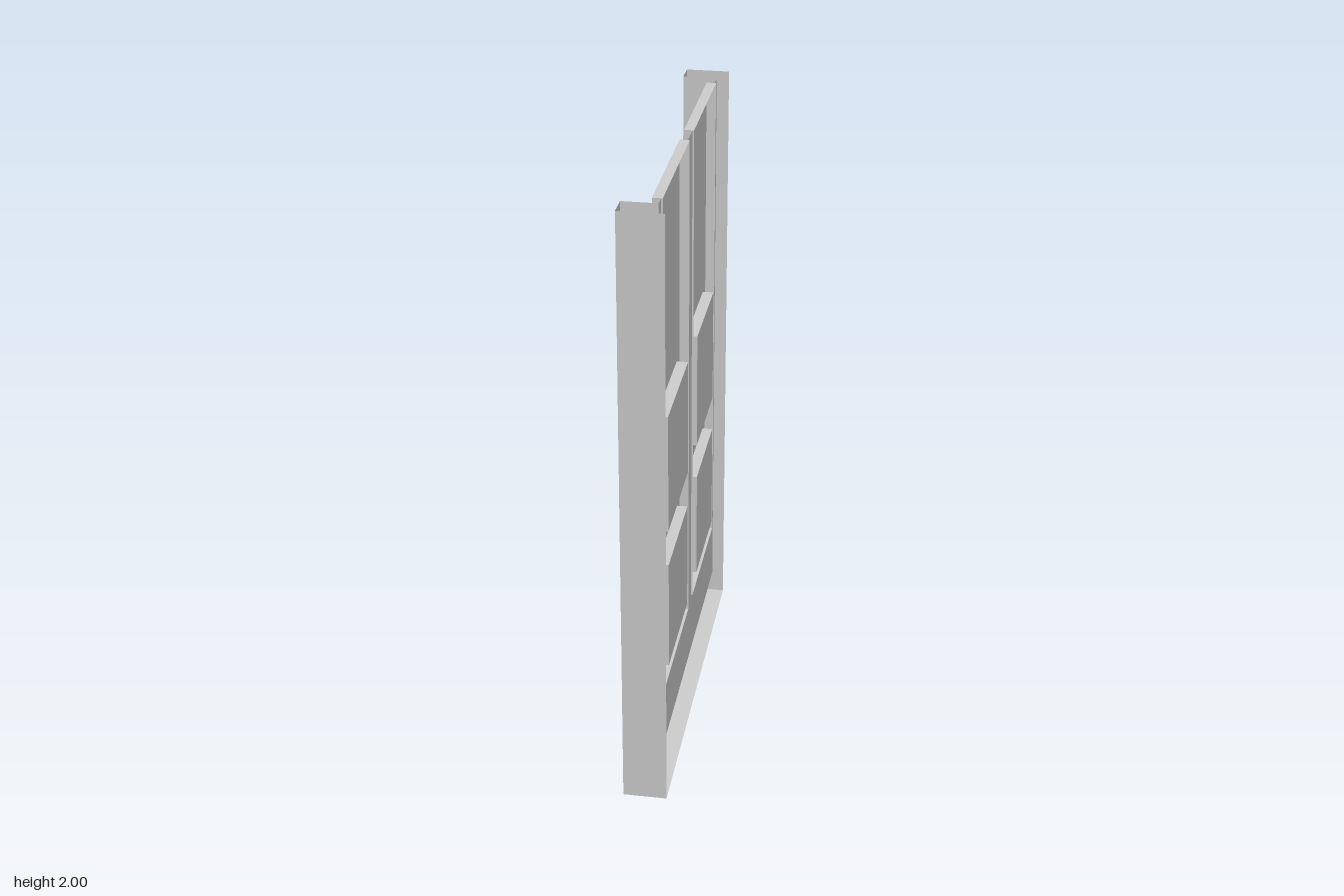
import * as THREE from 'three';

const material = new THREE.MeshStandardMaterial({ color: 0xcccccc, flatShading: true, side: THREE.DoubleSide });

const H = 2;          // height
const OUT = 0.635;    // half width of the frame
const IN = 0.56;      // half width of the opening
const SILL = 0.12;    // bottom of the opening
const BACK = -0.07, FRONT = 0.07, LEAF = 0.04, LIP = 0.045, RECESS = 0.014, RAISED = 0.05;

// Corner loop of a rectangle in the (z, y) plane
const rect = (z0, z1, y0, y1) => [[z0, y0], [z1, y0], [z1, y1], [z0, y1]];

// Flat sheet across the door at a given x, with optional holes
function sheet(name, x, outline, holes = []) {
  const vectors = (pts) => pts.map(([z, y]) => new THREE.Vector2(z, y));
  const shape = new THREE.Shape(vectors(outline));
  holes.forEach((h) => shape.holes.push(new THREE.Path(vectors(h))));
  const geometry = new THREE.ShapeGeometry(shape);
  geometry.rotateY(-Math.PI / 2).translate(x, 0, 0);
  const mesh = new THREE.Mesh(geometry, material);
  mesh.name = name;
  return mesh;
}

// Thin wall following a (z, y) path, spanning x0 to x1
function wall(name, path, x0, x1, closed = false) {
  const pts = closed ? [...path, path[0]] : path;
  const pos = [];
  for (let i = 0; i < pts.length - 1; i++) {
    const [az, ay] = pts[i], [bz, by] = pts[i + 1];
    pos.push(x0, ay, az, x0, by, bz, x1, by, bz, x0, ay, az, x1, by, bz, x1, ay, az);
  }
  const geometry = new THREE.BufferGeometry();
  geometry.setAttribute('position', new THREE.Float32BufferAttribute(pos, 3));
  geometry.computeVertexNormals();
  const mesh = new THREE.Mesh(geometry, material);
  mesh.name = name;
  return mesh;
}

export function createModel() {
  const door = new THREE.Group();
  door.name = 'door';

  // Frame: hollow channel, open at the top and on the +x side
  const outer = [[-OUT, H], [-OUT, 0], [OUT, 0], [OUT, H]];
  const inner = [[-IN, H], [-IN, SILL], [IN, SILL], [IN, H]];
  const frame = new THREE.Group();
  frame.name = 'frame';
  frame.add(
    wall('frameOuterWall', outer, BACK, FRONT),
    sheet('frameFace', BACK, [...outer, ...[...inner].reverse()]),
    wall('frameReveal', inner, BACK, LEAF),
  );
  door.add(frame);

  // Two tall recesses, each with two raised squares
  const bottom = 0.337;
  const bays = [
    { z: [-0.511, -0.051], squares: [rect(-0.458, -0.108, 0.395, 0.766), rect(-0.458, -0.103, 0.888, 1.285)] },
    { z: [0.036, 0.521], squares: [rect(0.093, 0.464, 0.395, 0.766), rect(0.088, 0.469, 0.888, 1.285)] },
  ];

  // Leaf: stiles and bottom rail around the recesses
  const outline = [[-IN, H], [-IN, SILL], [IN, SILL], [IN, H]];
  for (const { z: [z0, z1] } of [...bays].reverse()) {
    outline.push([z1, H], [z1, bottom], [z0, bottom], [z0, H]);
  }
  door.add(sheet('stilesAndRail', LEAF, outline));

  for (const { z: [z0, z1], squares } of bays) {
    const bay = new THREE.Group();
    bay.name = 'panel';
    const edge = rect(z0, z1, bottom, H);
    bay.add(sheet('panelSheet', RECESS, edge, squares), wall('panelEdge', edge, RECESS, LIP, true));
    for (const square of squares) {
      bay.add(sheet('raisedSquare', RAISED, square), wall('raisedSquareEdge', square, RECESS, RAISED, true));
    }
    door.add(bay);
  }
  return door;
}
